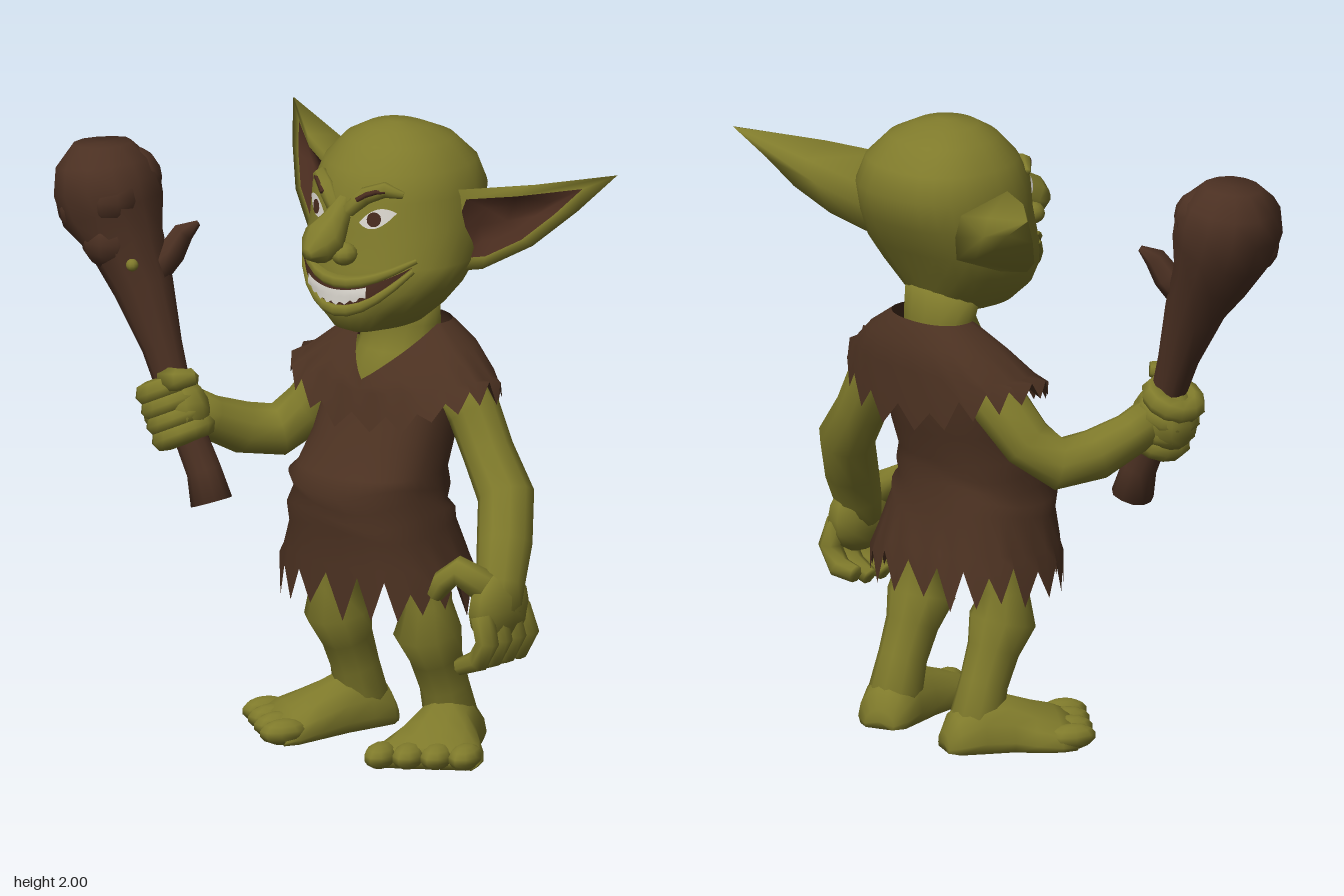
import * as THREE from 'three';

const V = (x, y, z) => new THREE.Vector3(x, y, z);
const CX = 0.145; // centre line of the body
let seed = 7;
const rnd = () => (seed = (seed * 16807) % 2147483647) / 2147483647;
const lerp = THREE.MathUtils.lerp;

const mat = (name, color, side = THREE.FrontSide) => {
  const m = new THREE.MeshStandardMaterial({ color, side });
  m.name = name;
  return m;
};

// Skin a list of equal point rings; the winding is turned outward by signed volume.
function loft(rings, capStart = true, capEnd = capStart) {
  const n = rings[0].length, pts = rings.flat(), idx = [];
  for (let r = 0; r < rings.length - 1; r++) for (let i = 0; i < n; i++) {
    const a = r * n + i, b = r * n + (i + 1) % n;
    idx.push(a, b, a + n, b, b + n, a + n);
  }
  [[0, capStart], [rings.length - 1, capEnd]].forEach(([r, on]) => {
    if (!on) return;
    const c = pts.length;
    pts.push(rings[r].reduce((s, p) => s.add(p), V(0, 0, 0)).divideScalar(n));
    for (let i = 0; i < n; i++) {
      const a = r * n + i, b = r * n + (i + 1) % n;
      r === 0 ? idx.push(c, b, a) : idx.push(c, a, b);
    }
  });
  const mid = pts.reduce((s, p) => s.add(p), V(0, 0, 0)).divideScalar(pts.length);
  let vol = 0;
  for (let i = 0; i < idx.length; i += 3) {
    const [a, b, c] = [0, 1, 2].map((k) => pts[idx[i + k]].clone().sub(mid));
    vol += a.dot(b.cross(c));
  }
  if (vol < 0) idx.reverse();
  const g = new THREE.BufferGeometry().setFromPoints(pts);
  g.setIndex(idx);
  g.computeVertexNormals();
  return g;
}

// Round limb along [x, y, z, radius] stations, with optional lumpiness.
function limb(path, n = 9, lump = 0) {
  const P = path.map((p) => V(p[0], p[1], p[2]));
  let u = V(0.31, 0.17, 0.93);
  return loft(P.map((p, i) => {
    const t = P[Math.min(i + 1, P.length - 1)].clone().sub(P[Math.max(i - 1, 0)]).normalize();
    u = u.clone().addScaledVector(t, -u.dot(t)).normalize();
    const w = t.clone().cross(u);
    return Array.from({ length: n }, (_, k) => {
      const a = k / n * Math.PI * 2, r = path[i][3] * (1 + lump * (rnd() - 0.5));
      return p.clone().addScaledVector(u, r * Math.cos(a)).addScaledVector(w, r * Math.sin(a));
    });
  }));
}

// Horizontal oval ring from [y, centre x, half width, front z, back z]; powers below 1 make it boxier.
function oval([y, cx, a, zf, zb], n, pow = 1, backPow = pow) {
  return Array.from({ length: n }, (_, i) => {
    const t = i / n * Math.PI * 2, e = Math.sin(t) < 0 ? backPow : pow;
    const f = (v) => Math.sign(v) * Math.abs(v) ** e;
    return V(cx + a * f(Math.cos(t)), y, (zf + zb) / 2 + (zf - zb) / 2 * f(Math.sin(t)));
  });
}

const HEAD = [
  [1.365, 0.17, 0.05, 0.06, -0.12], [1.385, 0.17, 0.12, 0.11, -0.22], [1.45, 0.17, 0.2, 0.145, -0.26],
  [1.52, 0.17, 0.255, 0.145, -0.3], [1.6, 0.17, 0.285, 0.13, -0.35], [1.7, 0.155, 0.27, 0.105, -0.41],
  [1.8, 0.15, 0.265, 0.095, -0.44], [1.88, 0.15, 0.235, 0.055, -0.41], [1.95, 0.15, 0.17, -0.01, -0.34],
  [1.985, 0.15, 0.1, -0.07, -0.26], [2, 0.15, 0.03, -0.14, -0.19],
];
// Depth of the face at (x, y)
function faceZ(x, y) {
  const i = HEAD.findIndex((r) => r[0] >= y), A = HEAD[i - 1], B = HEAD[i];
  const [, cx, a, zf, zb] = A.map((v, k) => lerp(v, B[k], (y - A[0]) / (B[0] - A[0])));
  return (zf + zb) / 2 + (zf - zb) / 2 * Math.sqrt(Math.max(0, 1 - ((x - cx) / a) ** 2));
}
// Thin patch lying on the face between a lower and an upper curve, u from -1 to 1.
function patch(cx, half, top, bot, off, nx = 14) {
  const g = new THREE.PlaneGeometry(2, 1, nx, 4), p = g.attributes.position;
  for (let i = 0; i < p.count; i++) {
    const u = p.getX(i), x = cx + half * u, y = lerp(bot(u), top(u), p.getY(i) + 0.5);
    p.setXYZ(i, x, y, faceZ(x, y) + off);
  }
  g.computeVertexNormals();
  return g;
}

export function createModel() {
  const model = new THREE.Group();
  const skin = mat('olive skin', 0x7f7a2b), cloth = mat('brown cloth', 0x4b3121, THREE.DoubleSide);
  const wood = mat('dark wood', 0x4b3022), inner = mat('ear and mouth brown', 0x482b1e, THREE.DoubleSide);
  const white = mat('eye and tooth white', 0xdcd8d0, THREE.DoubleSide);
  const add = (name, geo, m, parent = model) => {
    const o = new THREE.Mesh(geo, m);
    o.name = name;
    parent.add(o);
    return o;
  };
  const ball = (name, m, x, y, z, sx, sy = sx, sz = sx) => {
    const o = add(name, new THREE.SphereGeometry(1, 10, 8), m);
    o.position.set(x, y, z);
    o.scale.set(sx, sy, sz);
    return o;
  };

  // Head, neck and nose
  add('head', loft(HEAD.map((r) => oval(r, 28, 1, 0.85))), skin);
  add('neck', loft([[1.1, CX, 0.17, -0.02, -0.28], [1.18, 0.16, 0.16, 0, -0.28], [1.28, 0.165, 0.14, -0.045, -0.28],
    [1.36, 0.165, 0.13, -0.085, -0.28], [1.46, 0.165, 0.14, -0.05, -0.27]].map((r) => oval(r, 14))), skin);
  add('nose', limb([[0.15, 1.79, 0.07, 0.03], [0.145, 1.73, 0.12, 0.048], [0.14, 1.68, 0.165, 0.07],
    [0.14, 1.66, 0.21, 0.055], [0.14, 1.65, 0.25, 0.02]]), skin);

  // Mouth
  const mTop = (u) => 1.53 + 0.08 * u * u, mBot = (u) => 1.47 + 0.14 * u * u;
  add('mouth', patch(0.17, 0.225, mTop, mBot, 0.008), inner);
  add('teeth', patch(0.162, 0.122, (u) => 1.525 + 0.02 * u * u,
    (u) => 1.48 + 0.035 * u * u + 0.006 * Math.cos(u * 22), 0.015, 24), white);
  [['lowerLip', mBot, -0.014], ['upperLip', mTop, 0.016]].forEach(([name, f, dy]) =>
    add(name, limb(Array.from({ length: 11 }, (_, i) => {
      const u = i / 5 - 1, x = 0.17 + 0.225 * u, y = f(u) + dy;
      return [x, y, faceZ(x, y), 0.022 - 0.014 * u * u];
    }), 7), skin));

  for (const s of [-1, 1]) {
    // Eyes, brows and nostrils
    const ex = 0.155 + s * 0.122;
    add('eye', patch(ex, 0.052, (u) => 1.755 + 0.028 * (1 - u * u) + 0.018 * s * u, (u) => 1.755 - 0.032 * (1 - u * u) + 0.018 * s * u, 0.008), white);
    add('iris', patch(ex - s * 0.004, 0.021, (u) => 1.752 + 0.023 * Math.sqrt(1 - u * u), (u) => 1.752 - 0.023 * Math.sqrt(1 - u * u), 0.013), inner);
    const brow = (dist, r, dz) => limb(dist.map((d, i) => {
      const x = 0.15 + s * d, y = 1.85 - 6 * Math.max(0, 0.14 - d) ** 2 - 0.4 * Math.max(0, d - 0.14);
      return [x, y - 0.01, faceZ(x, y - 0.01) + dz, r * [0.8, 1, 0.9, 0.4][i]];
    }), 7);
    add('browRidge', brow([0.03, 0.08, 0.13, 0.18], 0.03, 0), skin);
    add('eyebrow', brow([0.07, 0.095, 0.12, 0.145], 0.01, 0.026), inner);
    ball('nostril', skin, 0.14 + s * 0.055, 1.638, 0.135, 0.042, 0.036, 0.045);

    // Ear: rim outline, open front, rounded back and a sunken inner cup
    const rim = [[0.67, 1.88, -0.455], [0.45, 1.845, -0.27], [0.26, 1.82, -0.16], [0.22, 1.68, -0.13],
      [0.23, 1.55, -0.16], [0.36, 1.58, -0.17], [0.49, 1.66, -0.26], [0.59, 1.77, -0.36]];
    const at = (d, y, z) => V(0.14 + s * d, y, z);
    const edge = rim.map((p) => at(...p));
    const lip = rim.map(([d, y, z]) => at(lerp(d, 0.37, 0.28), lerp(y, 1.72, 0.28), lerp(z, -0.22, 0.28) + 0.003));
    const back = rim.map(([d, y, z], i) => i ? at(d * 0.95 - 0.01, lerp(y, 1.7 + (d - 0.22) * 0.37, 0.45), -0.32 - (d - 0.2) * 0.28) : at(d, y, z - 0.005));
    add('ear', loft([lip, edge, back], false, true), skin);
    const cup = lip.map((p) => p.clone().lerp(at(0.37, 1.72, -0.255), 0.45).add(V(0, 0, -0.015)));
    add('innerEar', loft([lip, cup], false, true), inner);

    // Leg
    const lx = (d) => CX + s * d;
    add('leg', limb([[lx(0.11), 0.8, -0.1, 0.12], [lx(0.16), 0.6, -0.09, 0.1], [lx(0.19), 0.48, -0.1, 0.078],
      [lx(0.185), 0.39, -0.105, 0.108], [lx(0.185), 0.3, -0.145, 0.084], [lx(0.185), 0.2, -0.185, 0.078],
      [lx(0.185), 0.1, -0.215, 0.085], [lx(0.185), 0.03, -0.22, 0.07]], 10), skin);

    // Foot with four toes
    const foot = new THREE.Group();
    foot.name = 'foot';
    foot.position.set(lx(0.19), 0, -0.22);
    foot.rotation.y = s * 0.4;
    model.add(foot);
    add('sole', loft([[-0.11, 0.05, 0.06], [-0.08, 0.085, 0.12], [0, 0.1, 0.17], [0.09, 0.115, 0.16], [0.18, 0.15, 0.125],
      [0.26, 0.175, 0.095], [0.31, 0.17, 0.07]].map(([z, w, h]) => Array.from({ length: 14 }, (_, i) => {
      const a = i / 14 * Math.PI * 2;
      return V(w * Math.cos(a), h * Math.max(0, 0.2 + 0.8 * Math.sin(a)), z - s * w * Math.cos(a) * 0.2 * (z > 0.1));
    }))), skin, foot);
    [-0.128, -0.043, 0.043, 0.128].forEach((x) => {
      const toe = add('toe', new THREE.SphereGeometry(1, 9, 7), skin, foot);
      toe.position.set(x, 0.04, 0.3 - s * x * 0.25);
      toe.scale.set(0.05, 0.04, 0.08);
    });
  }

  // Tunic with belted folds and a ragged hem
  const jag = (ring, depth, f = () => 0) => ring.forEach((p, i) => { p.y += (i % 2 ? -depth : depth) * (0.5 + 0.9 * rnd()) + f(p); });
  const tunic = [[1.18, 0.155, 0.21, -0.02, -0.32], [1.1, 0.15, 0.225, 0.03, -0.31], [1, 0.15, 0.23, 0.08, -0.29],
    [0.91, 0.145, 0.235, 0.15, -0.265], [0.87, CX, 0.25, 0.185, -0.27], [0.82, CX, 0.24, 0.165, -0.26], [0.78, CX, 0.265, 0.18, -0.28],
    [0.73, CX, 0.265, 0.165, -0.28], [0.63, CX, 0.3, 0.165, -0.315], [0.53, CX, 0.325, 0.165, -0.335]].map((r) => oval(r, 40, 0.85));
  jag(tunic.at(-1), 0.058);
  tunic.slice(4, 8).forEach((ring, k) => ring.forEach((p, i) => { p.y += 0.018 * Math.sin(i * 0.47 + k); }));
  add('tunic', loft(tunic, false), cloth);

  // Shoulder cape with a V neck
  const cape = [[1.365, 0.165, 0.15, -0.11, -0.31], [1.3, 0.165, 0.25, -0.04, -0.35], [1.22, 0.16, 0.345, 0.015, -0.36],
    [1.12, 0.16, 0.385, 0.06, -0.365]].map((r) => oval(r, 40, 0.9));
  cape.forEach((ring, row) => ring.forEach((p, i) => {
    const k = Math.max(0, 1 - Math.abs(i - 10) / 8);
    p.y -= k * [0.165, 0.13, 0.06, 0][row];
    p.z += k * [0.13, 0.07, 0.02, 0][row];
  }));
  jag(cape[3], 0.035, (p) => -0.055 + 0.12 * Math.abs((p.x - 0.16) / 0.38) ** 2);
  add('shoulderCape', loft(cape, false), cloth);

  // Hanging left arm and hand
  add('leftArm', limb([[0.36, 1.2, -0.19, 0.085], [0.43, 1.1, -0.21, 0.085], [0.5, 0.98, -0.2, 0.082], [0.59, 0.86, -0.18, 0.09],
    [0.645, 0.73, -0.11, 0.088], [0.68, 0.62, -0.05, 0.078], [0.69, 0.54, -0.03, 0.07]], 10), skin);
  ball('leftPalm', skin, 0.69, 0.55, -0.03, 0.068, 0.12, 0.125);
  [0.065, 0, -0.065, -0.125].forEach((z, i) => add('leftFinger', limb([[0.7, 0.54, z * 0.9, 0.038], [0.725, 0.46, z, 0.038],
    [0.69, 0.395, z + 0.005, 0.037], [0.62, 0.365 + (i === 3 ? 0.02 : 0), z + 0.01, 0.028]], 7), skin));
  add('leftThumb', limb([[0.68, 0.62, 0.02, 0.055], [0.6, 0.67, 0.06, 0.048], [0.555, 0.63, 0.08, 0.038], [0.525, 0.58, 0.085, 0.026]], 7), skin);

  // Raised right arm
  add('rightArm', limb([[-0.03, 1.2, -0.18, 0.09], [-0.11, 1.12, -0.18, 0.09], [-0.19, 1.01, -0.14, 0.085], [-0.255, 0.94, -0.07, 0.085],
    [-0.31, 0.96, 0.04, 0.082], [-0.35, 1.01, 0.15, 0.07], [-0.375, 1.05, 0.23, 0.075]], 10), skin);

  // Fist wrapped round the club
  const axis = V(-0.42, 0.9, 0.03).normalize();
  ball('rightPalm', skin, -0.39, 1.05, 0.26, 0.115, 0.11, 0.095);
  for (let i = 0; i < 4; i++) {
    const f = add('rightFinger', new THREE.TorusGeometry(0.067, 0.039, 7, 12), skin);
    f.position.set(-0.39, 1.05, 0.265).addScaledVector(axis, (i - 1.5) * 0.05);
    f.quaternion.setFromUnitVectors(V(0, 0, 1), axis);
  }
  add('rightThumb', limb([[-0.42, 1.1, 0.2, 0.045], [-0.38, 1.16, 0.31, 0.04], [-0.32, 1.175, 0.33, 0.036], [-0.29, 1.18, 0.29, 0.025]], 7), skin);

  // Knotty wooden club
  add('club', limb([[-0.25, 0.775, 0.25, 0.068], [-0.285, 0.87, 0.25, 0.058], [-0.38, 1.07, 0.265, 0.05], [-0.44, 1.25, 0.27, 0.064],
    [-0.515, 1.43, 0.27, 0.095], [-0.58, 1.56, 0.275, 0.125], [-0.63, 1.66, 0.28, 0.16], [-0.655, 1.74, 0.285, 0.17],
    [-0.67, 1.81, 0.285, 0.15], [-0.675, 1.868, 0.285, 0.09]], 12, 0.12), wood);
  [[-0.69, 1.67, 0.34], [-0.59, 1.72, 0.34], [-0.6, 1.76, 0.23], [-0.6, 1.58, 0.33]]
    .forEach((p) => ball('clubKnot', wood, ...p, 0.095));
  add('clubSpike', limb([[-0.5, 1.47, 0.26, 0.06], [-0.45, 1.54, 0.21, 0.045], [-0.43, 1.6, 0.18, 0.035], [-0.395, 1.63, 0.15, 0.01]], 6), wood);
  ball('mossSpot', skin, -0.49, 1.52, 0.355, 0.02);

  return model;
}
